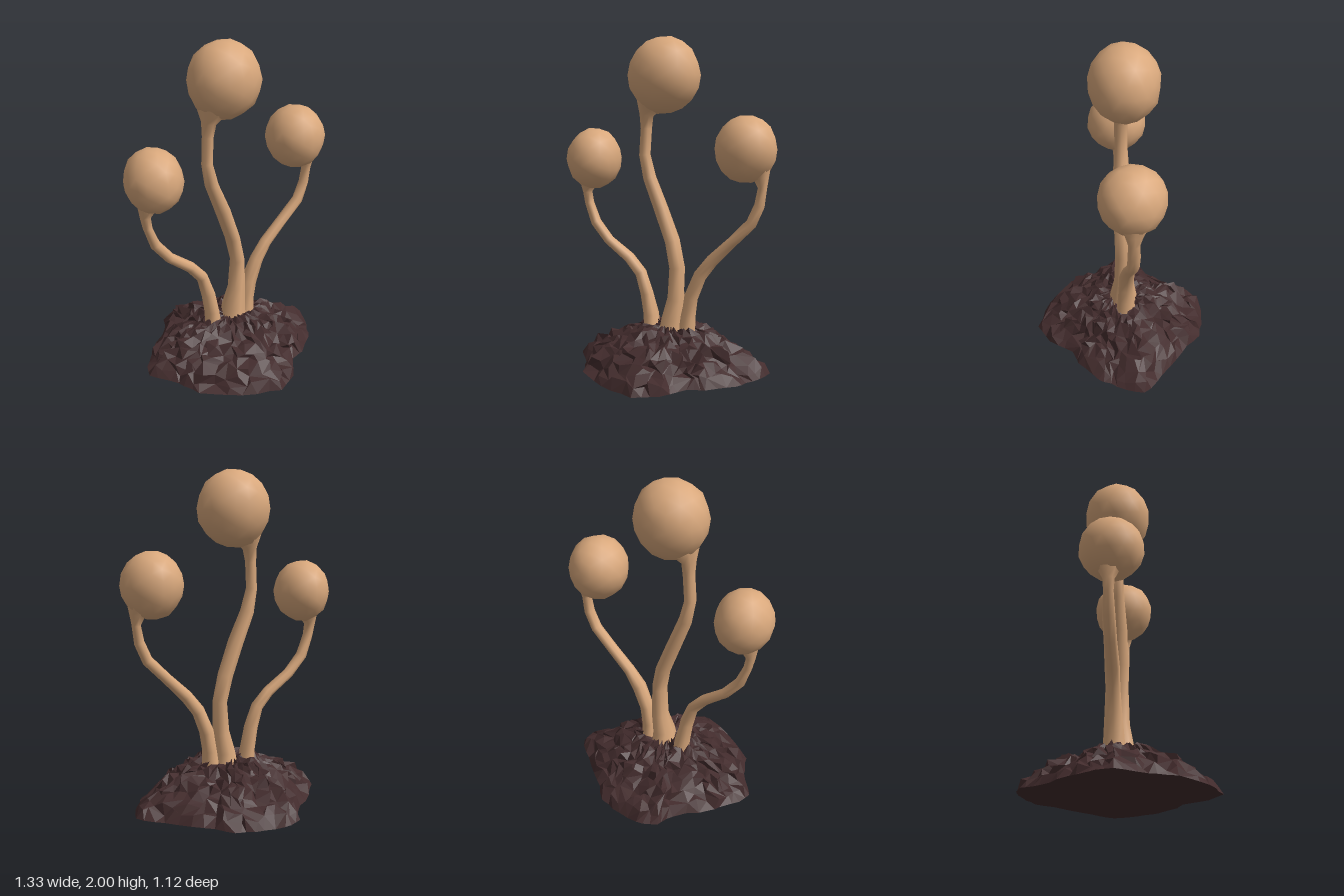
import * as THREE from 'three';
import { mergeVertices } from 'three/addons/utils/BufferGeometryUtils.js';

const flesh = new THREE.MeshStandardMaterial({ color: 0xd9a87c });
flesh.name = 'tan flesh';
const soil = new THREE.MeshStandardMaterial({ color: 0x432c2d });
soil.name = 'dark soil';

// Seeded random in -1..1
function makeRandom(seed) {
  let s = seed;
  return () => {
    s = (s * 16807) % 2147483647;
    return (s / 2147483647) * 2 - 1;
  };
}

function add(group, name, geometry, material) {
  const mesh = new THREE.Mesh(geometry, material);
  mesh.name = name;
  group.add(mesh);
  return mesh;
}

function fromArrays(pos, index) {
  const g = new THREE.BufferGeometry();
  g.setAttribute('position', new THREE.Float32BufferAttribute(pos, 3));
  g.setIndex(index);
  return g;
}

// Slightly lumpy low-poly ball with smooth normals
function capGeometry(radii, seed) {
  const rnd = makeRandom(seed);
  let g = new THREE.IcosahedronGeometry(1, 2);
  g.deleteAttribute('uv');
  g.deleteAttribute('normal');
  g = mergeVertices(g, 1e-3);
  const p = g.attributes.position;
  for (let i = 0; i < p.count; i++) {
    const k = 1 + rnd() * 0.018;
    p.setXYZ(i, p.getX(i) * k * radii[0], p.getY(i) * k * radii[1], p.getZ(i) * k * radii[2]);
  }
  g.computeVertexNormals();
  return g;
}

// Tapering stem in the xy plane; each path entry is [x, y, radius]
function stemGeometry(path, z, seed) {
  const rnd = makeRandom(seed), sides = 8, pos = [], index = [];
  path.forEach(([x, y, r], i) => {
    const a = path[Math.max(i - 1, 0)], b = path[Math.min(i + 1, path.length - 1)];
    const t = new THREE.Vector2(b[0] - a[0], b[1] - a[1]).normalize();
    for (let j = 0; j < sides; j++) {
      const ang = (j / sides) * Math.PI * 2;
      const k = r * (1 + rnd() * 0.1), c = Math.cos(ang) * k;
      pos.push(x + t.y * c, y - t.x * c, z - Math.sin(ang) * k * 1.15);
      if (i > 0) {
        const n = (j + 1) % sides, lo = (i - 1) * sides, hi = i * sides;
        index.push(lo + j, lo + n, hi + n, lo + j, hi + n, hi + j);
      }
    }
  });
  const g = fromArrays(pos, index);
  g.computeVertexNormals();
  return g;
}

// Ground outline of the mound as [x, z], going round from +x towards +z
const OUTLINE = [
  [0.64, -0.09], [0.57, 0.08], [0.5, 0.18], [0.36, 0.3], [0.26, 0.34], [0.15, 0.48],
  [0.01, 0.56], [-0.22, 0.48], [-0.43, 0.31], [-0.48, 0.17], [-0.6, 0.0], [-0.54, -0.12],
  [-0.46, -0.23], [-0.27, -0.41], [-0.22, -0.52], [-0.1, -0.56], [0.09, -0.54],
  [0.2, -0.5], [0.32, -0.37], [0.5, -0.22],
];

// Rough heap of earth: rings from the rim to the top, every point shaken
function moundGeometry() {
  const rnd = makeRandom(4711), rings = 13, per = 3, n = OUTLINE.length * per;
  const pos = [], index = [];
  for (let i = 0; i < rings; i++) {
    const t = 1 - i / rings;
    for (let j = 0; j < n; j++) {
      const a = OUTLINE[Math.floor(j / per)];
      const b = OUTLINE[(Math.floor(j / per) + 1) % OUTLINE.length];
      const f = (j % per) / per;
      const x = a[0] + (b[0] - a[0]) * f, z = a[1] + (b[1] - a[1]) * f;
      const shake = i === 0 ? 0.008 : 0.027 * Math.min(1, t * 1.8);
      const dip = 0.04 * Math.max(0, 1 - t / 0.3);
      const y = i === 0 ? 0 : 0.265 * (1 - t ** 1.75) - dip + 0.012 + rnd() * 0.027;
      pos.push(
        THREE.MathUtils.clamp(x * t + rnd() * shake, -0.6, 0.64),
        Math.max(y, 0),
        THREE.MathUtils.clamp(z * t + rnd() * shake, -0.56, 0.56));
      if (i > 0) {
        const m = (j + 1) % n, lo = (i - 1) * n, hi = i * n;
        if (rnd() > 0) index.push(lo + j, hi + j, hi + m, lo + j, hi + m, lo + m);
        else index.push(lo + j, hi + j, lo + m, lo + m, hi + j, hi + m);
      }
    }
  }
  // Close the top and the underside with fans
  const top = pos.length / 3;
  pos.push(0, 0.22, 0, 0, 0.01, 0);
  for (let j = 0; j < n; j++) {
    const m = (j + 1) % n, last = (rings - 1) * n;
    index.push(last + j, top, last + m, j, m, top + 1);
  }
  const g = fromArrays(pos, index).toNonIndexed();
  g.computeVertexNormals();
  return g;
}

const MUSHROOMS = [
  {
    name: 'right', z: -0.03, cap: [-0.5, 1.265, -0.02], radii: [0.167, 0.19, 0.186],
    path: [[-0.11, 0.15, 0.06], [-0.125, 0.3, 0.048], [-0.15, 0.43, 0.042], [-0.19, 0.56, 0.036],
      [-0.27, 0.65, 0.035], [-0.41, 0.75, 0.032], [-0.5, 0.86, 0.032], [-0.545, 0.98, 0.027],
      [-0.557, 1.05, 0.03], [-0.55, 1.1, 0.05], [-0.53, 1.17, 0.085]],
  },
  {
    name: 'middle', z: -0.015, cap: [-0.03, 1.775, -0.022], radii: [0.218, 0.23, 0.204],
    path: [[0.02, 0.15, 0.09], [0.03, 0.3, 0.068], [0.05, 0.42, 0.052], [0.058, 0.62, 0.047],
      [0.025, 0.78, 0.046], [-0.05, 0.98, 0.046], [-0.125, 1.16, 0.04], [-0.155, 1.3, 0.034],
      [-0.145, 1.46, 0.034], [-0.14, 1.54, 0.045], [-0.12, 1.6, 0.08], [-0.09, 1.67, 0.11]],
  },
  {
    name: 'left', z: -0.02, cap: [0.48, 1.355, -0.016], radii: [0.181, 0.197, 0.19],
    path: [[0.12, 0.15, 0.06], [0.13, 0.32, 0.048], [0.15, 0.44, 0.044], [0.205, 0.58, 0.039],
      [0.28, 0.68, 0.035], [0.4, 0.8, 0.033], [0.52, 0.92, 0.032], [0.565, 1.03, 0.03],
      [0.58, 1.13, 0.028], [0.575, 1.19, 0.045], [0.55, 1.27, 0.09]],
  },
];

export function createModel() {
  const model = new THREE.Group();
  model.name = 'mushroom cluster';
  add(model, 'soilMound', moundGeometry(), soil);

  MUSHROOMS.forEach((m, i) => {
    const group = new THREE.Group();
    group.name = m.name + 'Mushroom';
    add(group, 'stem', stemGeometry(m.path, m.z, 31 + i * 977), flesh);
    add(group, 'cap', capGeometry(m.radii, 101 + i * 577), flesh).position.set(...m.cap);
    model.add(group);
  });
  return model;
}
